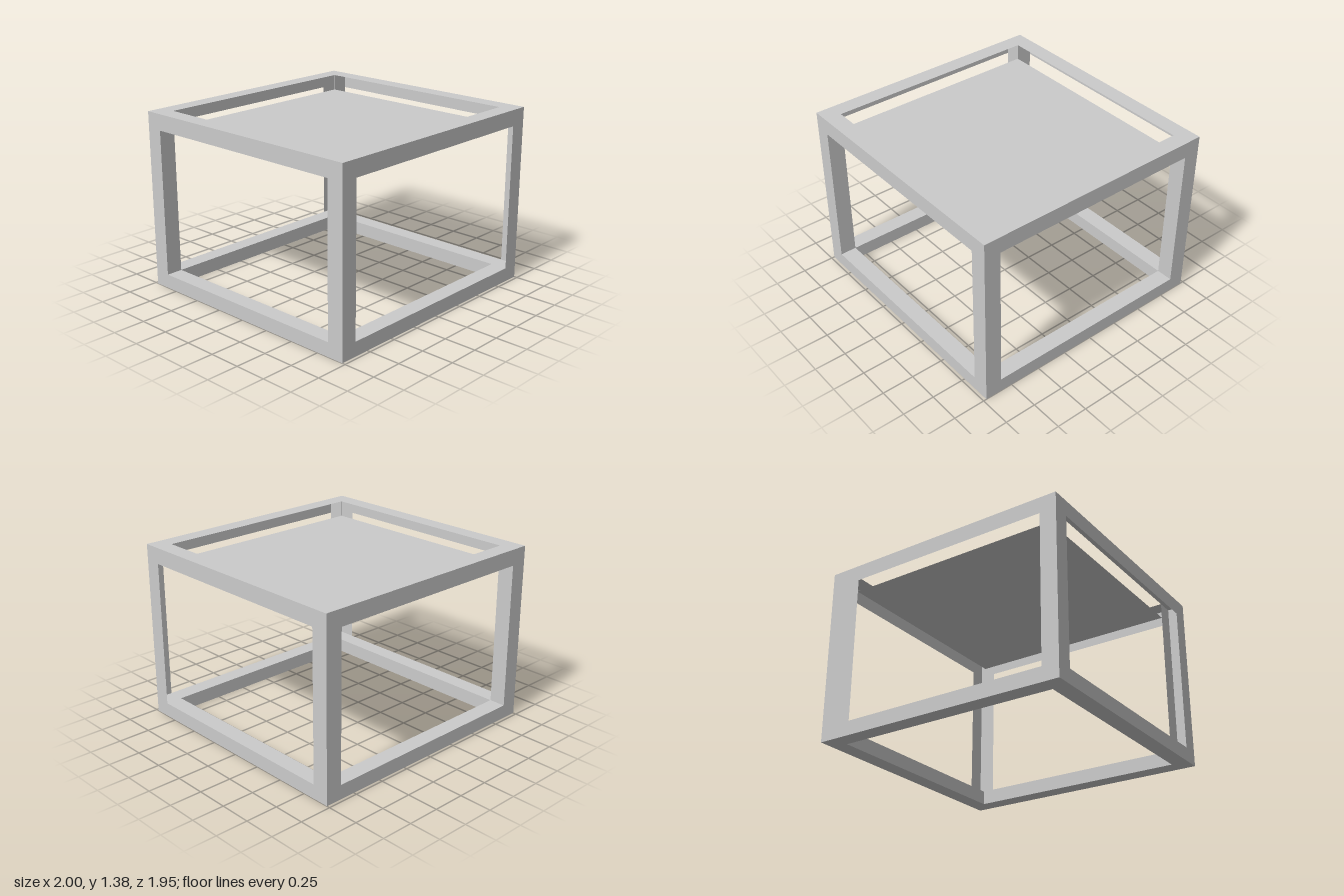
import * as THREE from 'three';

const X = 1, Z = 0.975, IX = 0.87, IZ = 0.845;   // outer and inner half sizes
const H = 1.375, TOP = 1.25, BASE = 0.11;        // height, opening top and bottom

const material = new THREE.MeshStandardMaterial({
  color: 0xcccccc, flatShading: true, side: THREE.DoubleSide,
});

// Flat rectangle with a rectangular hole, in the xy plane
function frameGeometry(w, y0, y1, iw, h0, h1) {
  const rect = (P, a, b, c) => new P([
    new THREE.Vector2(-a, b), new THREE.Vector2(a, b),
    new THREE.Vector2(a, c), new THREE.Vector2(-a, c),
  ]);
  const shape = rect(THREE.Shape, w, y0, y1);
  shape.holes.push(rect(THREE.Path, iw, h0, h1));
  return new THREE.ShapeGeometry(shape);
}

export function createModel() {
  const model = new THREE.Group();

  const add = (name, geometry, x, y, z, rx = 0, ry = 0) => {
    const mesh = new THREE.Mesh(geometry, material);
    mesh.name = name;
    mesh.position.set(x, y, z);
    mesh.rotation.set(rx, ry, 0);
    model.add(mesh);
  };

  // Outer faces of the four sides
  const wide = frameGeometry(X, 0, H, IX, BASE, TOP);
  const deep = frameGeometry(Z, 0, H, IZ, BASE, TOP);
  add('frontFrame', wide, 0, 0, Z);
  add('backFrame', wide, 0, 0, -Z, 0, Math.PI);
  add('leftFrame', deep, X, 0, 0, 0, Math.PI / 2);
  add('rightFrame', deep, -X, 0, 0, 0, -Math.PI / 2);

  // Horizontal rims: table edge, and top and underside of the base rails
  const rim = frameGeometry(X, -Z, Z, IX, -IZ, IZ);
  add('topRim', rim, 0, H, 0, -Math.PI / 2);
  add('baseRailTop', rim, 0, BASE, 0, -Math.PI / 2);
  add('baseRailUnderside', rim, 0, 0, 0, Math.PI / 2);

  // Inner faces of the base rails
  for (const s of [-1, 1]) {
    add('baseRailInner', new THREE.PlaneGeometry(2 * IX, BASE),
      0, BASE / 2, s * IZ, 0, s > 0 ? Math.PI : 0);
    add('baseRailInner', new THREE.PlaneGeometry(2 * IZ, BASE),
      s * IX, BASE / 2, 0, 0, -s * Math.PI / 2);
  }

  // Inner faces of the legs; only the right and back legs are closed inside
  const legH = H - BASE, legY = (H + BASE) / 2;
  for (const s of [-1, 1]) {
    add('legInnerSide', new THREE.PlaneGeometry(Z - IZ, legH),
      -IX, legY, s * (Z + IZ) / 2, 0, Math.PI / 2);
    add('legInnerFront', new THREE.PlaneGeometry(X - IX, legH),
      s * (X + IX) / 2, legY, -IZ);
  }

  // Recessed table panel
  add('panel', new THREE.PlaneGeometry(2 * IX, 2 * IZ), 0, TOP, 0, -Math.PI / 2);

  return model;
}
